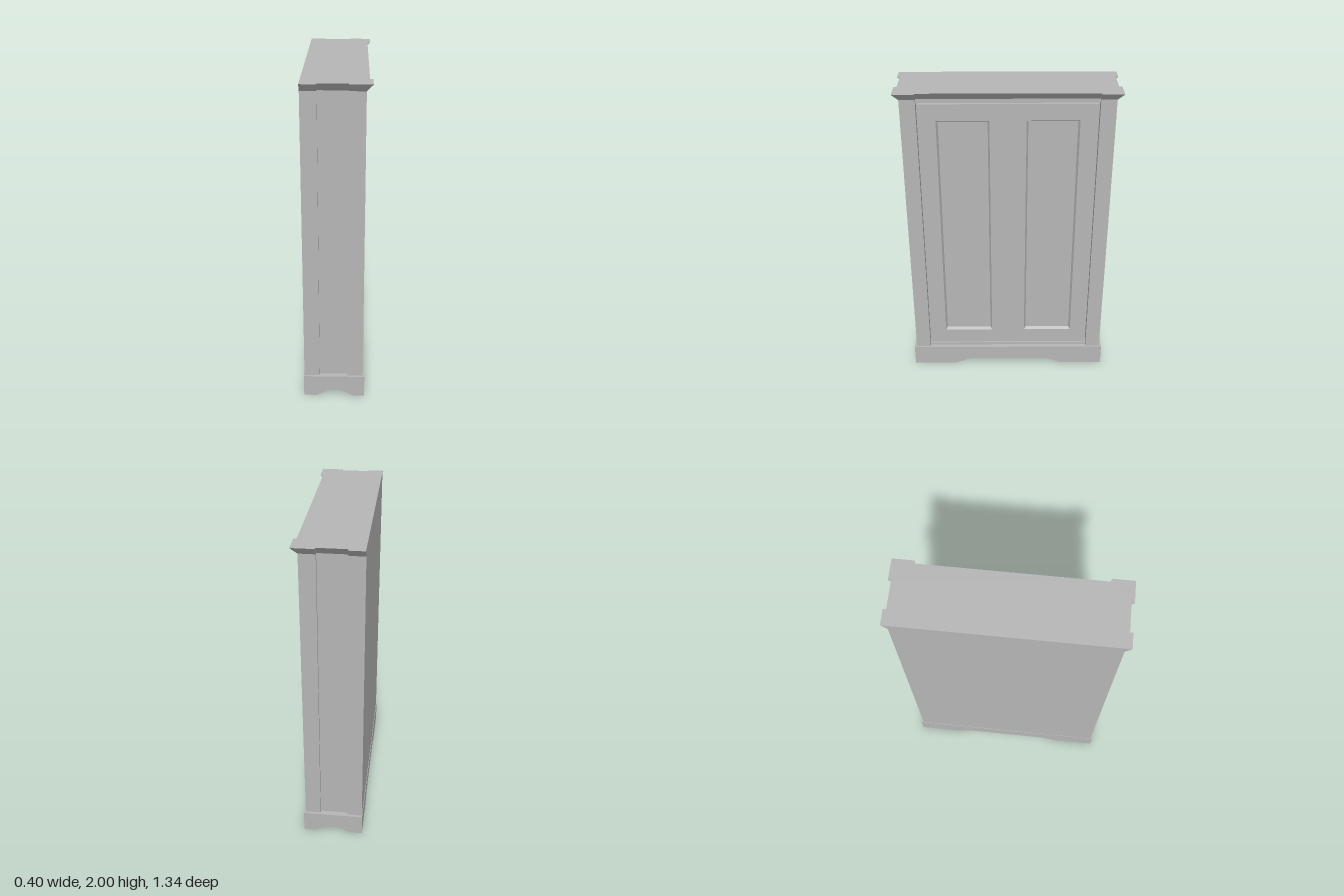
import * as THREE from 'three';

const paint = new THREE.MeshStandardMaterial({ color: 0xb6b6b6 });
paint.name = 'grey paint';

function add(parent, name, geometry) {
  const mesh = new THREE.Mesh(geometry, paint);
  mesh.name = name;
  parent.add(mesh);
  return mesh;
}

const toShape = (pts) => new THREE.Shape(pts.map(([x, y]) => new THREE.Vector2(x, y)));
const extrude = (shape, depth) => new THREE.ExtrudeGeometry(shape, { depth, bevelEnabled: false });
const rect = (x0, y0, x1, y1) => [[x0, y0], [x1, y0], [x1, y1], [x0, y1]];

// Sloped band between two matching loops, with an optional cap on the second
function loft(loopA, zA, loopB, zB, cap) {
  const pos = [];
  const n = loopA.length;
  for (let i = 0; i < n; i++) {
    const j = (i + 1) % n;
    const a0 = [...loopA[i], zA], a1 = [...loopA[j], zA];
    const b0 = [...loopB[i], zB], b1 = [...loopB[j], zB];
    pos.push(...a0, ...a1, ...b1, ...a0, ...b1, ...b0);
  }
  if (cap) {
    const flat = loopB.map(([x, y]) => new THREE.Vector2(x, y));
    for (const tri of THREE.ShapeUtils.triangulateShape(flat, []))
      for (const k of tri) pos.push(...loopB[k], zB);
  }
  const g = new THREE.BufferGeometry();
  g.setAttribute('position', new THREE.Float32BufferAttribute(pos, 3));
  g.computeVertexNormals();
  return g;
}

// Plan of the case with stepped sides and a recessed front; flare pushes it outwards
function plan(recessX, flare = 0) {
  const back = -0.2, front = 0.165 + flare, z = 0.635 + flare, zIn = 0.617 + flare;
  const rx = recessX + flare;
  const half = [[rx, 0.54], [front, 0.54], [front, z], [0.068, z], [0.068, zIn],
    [-0.105, zIn], [-0.105, z], [back, z]];
  const mirrored = half.map(([x, y]) => [x, -y]).reverse();
  return [...half, ...mirrored];
}

// Plinth board with a shallow arch cut in its lower edge
function archBoard(x0, x1, foot0, top0, top1, foot1, thickness) {
  return extrude(toShape([[x0, 0], [foot0, 0], [top0, 0.038], [top1, 0.038], [foot1, 0],
    [x1, 0], [x1, 0.14], [x0, 0.14]]), thickness);
}

// One framed door, drawn facing +z with u running across the front
function makeDoor(name, side) {
  const door = new THREE.Group();
  door.name = name;
  const across = (a, b, y0, y1) => (side > 0 ? rect(a, y0, b, y1) : rect(-b, y0, -a, y1));
  const opening = across(0.11, 0.428, 0.272, 1.818);
  const frame = toShape(across(0.004, 0.533, 0.167, 1.922));
  frame.holes.push(new THREE.Path(opening.map(([x, y]) => new THREE.Vector2(x, y))));
  add(door, 'doorFrame', extrude(frame, 0.022)).position.z = 0.125;
  const inner = across(0.121, 0.417, 0.283, 1.807);
  add(door, 'panelMoulding', loft(opening, 0.147, inner, 0.127, false));
  add(door, 'doorPanel', new THREE.ShapeGeometry(toShape(inner))).position.z = 0.127;
  door.rotation.y = Math.PI / 2;
  return door;
}

export function createModel() {
  const model = new THREE.Group();
  model.name = 'wardrobe';

  // Case with corner posts and stepped side panels
  const body = add(model, 'caseBody', extrude(toShape(plan(0.125)), 1.815));
  body.rotation.x = -Math.PI / 2;
  body.position.y = 0.14;

  // Flared cornice
  const crown = add(model, 'cornice', loft(plan(0.147), 0, plan(0.147, 0.036), 0.045, true));
  crown.rotation.x = -Math.PI / 2;
  crown.position.y = 1.955;

  // Rails above and below the doors
  for (const [name, y0, y1] of [['lowerRail', 0.14, 0.159], ['upperRail', 1.93, 1.955]]) {
    const rail = add(model, name, new THREE.BoxGeometry(0.022, y1 - y0, 1.08));
    rail.position.set(0.136, (y0 + y1) / 2, 0);
  }

  // Pair of doors
  model.add(makeDoor('rightDoor', 1), makeDoor('leftDoor', -1));

  // Hollow plinth with arched boards on all four sides
  const plinth = new THREE.Group();
  plinth.name = 'plinth';
  model.add(plinth);
  for (const [name, x] of [['frontPlinthBoard', 0.14], ['backPlinthBoard', -0.203]]) {
    const board = add(plinth, name, archBoard(-0.65, 0.65, -0.365, -0.27, 0.27, 0.365, 0.035));
    board.rotation.y = Math.PI / 2;
    board.position.x = x;
  }
  for (const [name, z] of [['leftPlinthBoard', 0.615], ['rightPlinthBoard', -0.65]]) {
    const board = add(plinth, name, archBoard(-0.168, 0.14, -0.122, -0.053, 0.03, 0.102, 0.035));
    board.position.z = z;
  }
  return model;
}
